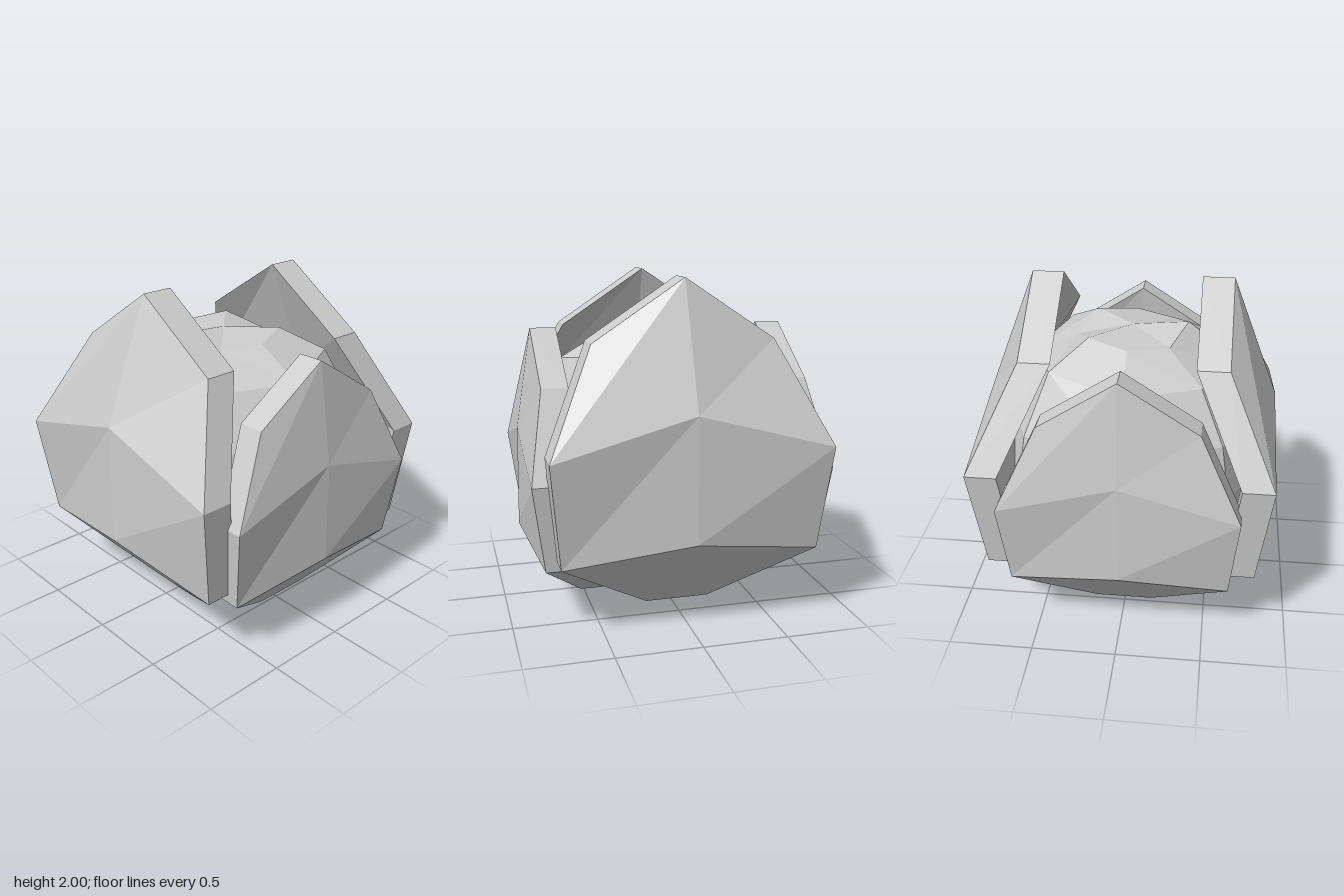
import * as THREE from 'three';

const material = new THREE.MeshStandardMaterial({ color: 0xcccccc, flatShading: true });

// Faceted shell plate facing +z. Rows run from tip to foot:
// [ridge y, ridge z, edge y, edge z, half width]
function petalGeometry(rows, thickness) {
  const rings = rows.map(([cy, cz, ey, ez, w]) => {
    const outer = [[-w, ey, ez], [0, cy, cz], [w, ey, ez]];
    const inner = outer.map(([x, y, z]) => [x, y, z - thickness]).reverse();
    return [...outer, ...inner];
  });
  const pos = [];
  const quad = (a, b, c, d) => pos.push(...a, ...b, ...c, ...a, ...c, ...d);
  for (let i = 0; i < rings.length - 1; i++) {
    for (let j = 0; j < 6; j++) {
      const k = (j + 1) % 6;
      quad(rings[i + 1][j], rings[i + 1][k], rings[i][k], rings[i][j]);
    }
  }
  // Tip and foot rims
  const t = rings[0], f = rings[rings.length - 1];
  quad(t[0], t[1], t[4], t[5]);
  quad(t[1], t[2], t[3], t[4]);
  quad(f[5], f[4], f[1], f[0]);
  quad(f[4], f[3], f[2], f[1]);
  const geo = new THREE.BufferGeometry();
  geo.setAttribute('position', new THREE.Float32BufferAttribute(pos, 3));
  geo.computeVertexNormals();
  return geo;
}

// Eight-sided ball with a slightly uneven crown
function coreGeometry() {
  const geo = new THREE.SphereGeometry(0.87, 8, 8);
  const p = geo.attributes.position;
  for (let i = 0; i < p.count; i++) {
    const y = p.getY(i), z = p.getZ(i);
    let dy = 0;
    if (y > 0.86) dy = -0.05;
    else if (y > 0.75) dy = z > 0.3 ? 0.045 : z > 0.1 ? -0.03 : z > -0.1 ? -0.015 : z > -0.3 ? 0.015 : -0.06;
    else if (y > 0.55) dy = Math.abs(z) < 0.5 && z < -0.1 ? 0.07 : 0.01;
    p.setY(i, y + dy);
  }
  const flat = geo.toNonIndexed();
  flat.computeVertexNormals();
  return flat;
}

export function createModel() {
  const group = new THREE.Group();

  const core = new THREE.Mesh(coreGeometry(), material);
  core.name = 'core';
  core.position.y = 0.87;
  group.add(core);

  // Tall plates at front and back, shorter ones at the sides
  const tall = petalGeometry([
    [2.0, 0.59, 1.65, 0.59, 0.53],
    [1.28, 0.87, 1.06, 0.87, 0.81],
    [0.55, 0.88, 0.44, 0.79, 0.75],
    [0.06, 0.45, 0.06, 0.45, 0.19],
  ], 0.185);
  const short = petalGeometry([
    [1.68, 0.79, 1.39, 0.79, 0.45],
    [1.08, 0.885, 0.89, 0.885, 0.69],
    [0.47, 0.895, 0.38, 0.815, 0.64],
    [0.06, 0.54, 0.06, 0.54, 0.17],
  ], 0.155);
  ['frontPetal', 'leftPetal', 'backPetal', 'rightPetal'].forEach((name, i) => {
    const petal = new THREE.Mesh(i % 2 ? short : tall, material);
    petal.name = name;
    petal.rotation.y = i * Math.PI / 2;
    group.add(petal);
  });

  return group;
}
